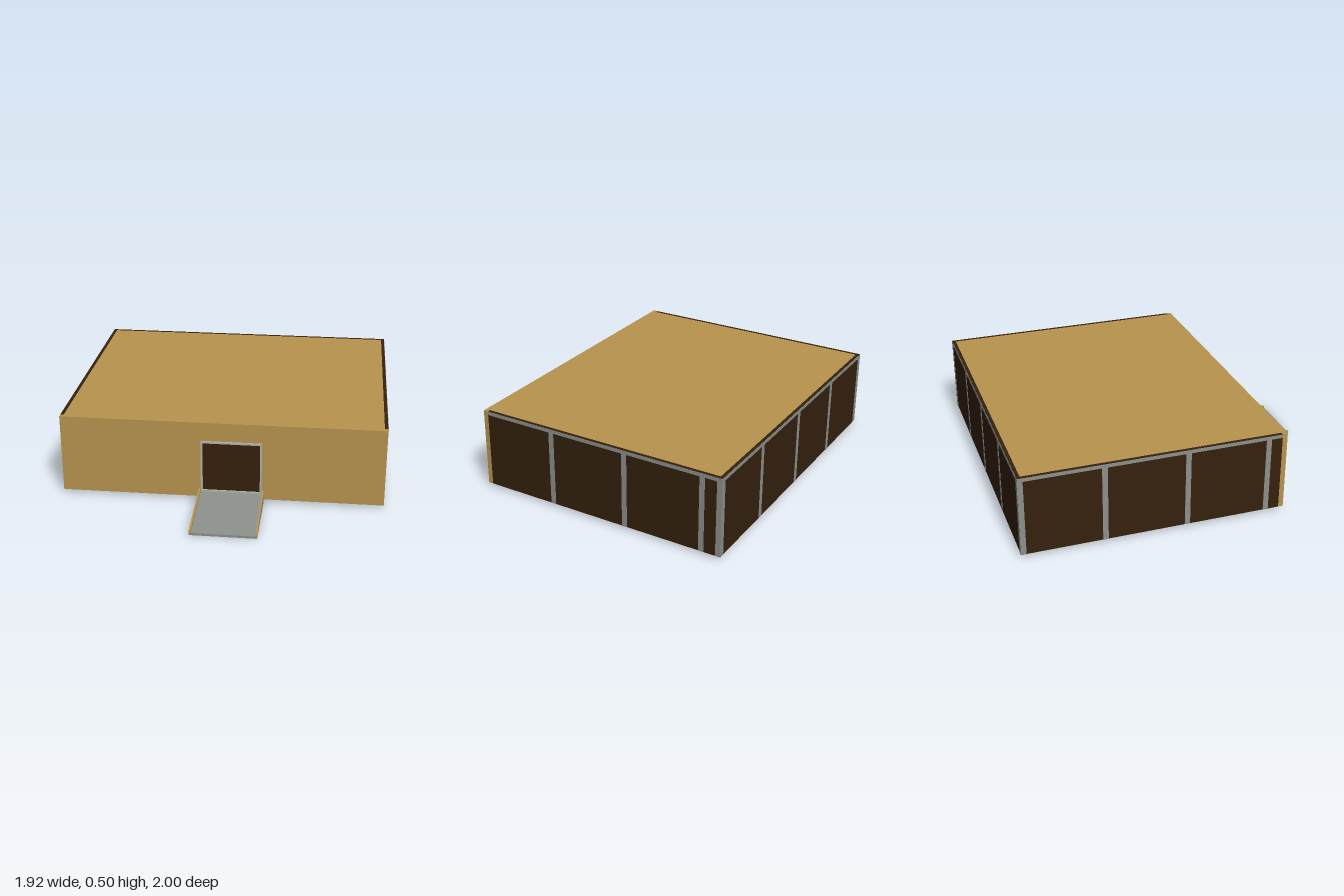
import * as THREE from 'three';

export function createModel() {
  const model = new THREE.Group();
  model.name = 'exhibitionHall';

  const mat = (name, color) => {
    const m = new THREE.MeshStandardMaterial({ color });
    m.name = name;
    return m;
  };
  const ochre = mat('ochre', 0xb8944e);
  const brown = mat('darkBrown', 0x35210d);
  const grey = mat('grey', 0x8c908a);
  const pale = mat('paleGrey', 0xb0b2aa);

  const add = (name, geometry, material, parent = model) => {
    const mesh = new THREE.Mesh(geometry, material);
    mesh.name = name;
    parent.add(mesh);
    return mesh;
  };
  // Box given by its minimum and maximum on each axis
  const box = (name, material, [x0, x1], [y0, y1], [z0, z1], parent) => {
    const mesh = add(name, new THREE.BoxGeometry(x1 - x0, y1 - y0, z1 - z0), material, parent);
    mesh.position.set((x0 + x1) / 2, (y0 + y1) / 2, (z0 + z1) / 2);
  };
  // Outline in (z, y) extruded along x
  const sideExtrude = (name, material, points, x0, x1, parent) => {
    const shape = new THREE.Shape(points.map(([z, y]) => new THREE.Vector2(-z, y)));
    const geo = new THREE.ExtrudeGeometry(shape, { depth: x1 - x0, bevelEnabled: false });
    geo.rotateY(Math.PI / 2).translate(x0, 0, 0);
    add(name, geo, material, parent);
  };

  const W = 0.96, T = 0.02, Y0 = 0.02, Y1 = 0.5, BACK = -0.998, FRONT = 0.568, INNER = 0.538;
  const door = { x0: -0.123, x1: 0.239, y0: 0.058, y1: 0.385 };

  // Front wall with the doorway cut out
  const rect = (Type, x0, x1, y0, y1) => {
    const p = new Type();
    p.moveTo(x0, y0).lineTo(x1, y0).lineTo(x1, y1).lineTo(x0, y1).closePath();
    return p;
  };
  const wall = rect(THREE.Shape, -W, W, Y0, Y1);
  wall.holes.push(rect(THREE.Path, door.x0, door.x1, door.y0, door.y1));
  const wallGeo = new THREE.ExtrudeGeometry(wall, { depth: FRONT - INNER, bevelEnabled: false });
  wallGeo.translate(0, 0, INNER);
  add('frontWall', wallGeo, ochre);

  // Dark side and back walls around an inset roof; the hall is open below
  box('rightWall', brown, [W - T, W], [Y0, Y1], [BACK, INNER]);
  box('leftWall', brown, [-W, -W + T], [Y0, Y1], [BACK, INNER]);
  box('backWall', brown, [-W + T, W - T], [Y0, Y1], [BACK, BACK + T]);
  box('roof', ochre, [-W + T, W - T], [Y1 - 0.012, Y1], [BACK + T, INNER]);

  // Grey posts and top rails as thin plates on the outer walls
  const P = 0.002, half = 0.016;
  const trim = new THREE.Group();
  trim.name = 'wallTrim';
  model.add(trim);
  const sides = [
    { x: [W, W + P], posts: [0.09, -0.395, -0.88, -0.984] },
    { x: [-W - P, -W], posts: [0.455, -0.03, -0.515, -0.984] },
  ];
  for (const { x, posts } of sides) {
    box('sideTopRail', grey, x, [Y1 - 0.022, Y1 - 0.001], [BACK, INNER], trim);
    for (const z of posts) {
      box('sidePost', grey, x, [Y0, Y1 - 0.022], [Math.max(z - half, BACK), z + half], trim);
    }
  }
  box('backTopRail', grey, [-W, W], [Y1 - 0.022, Y1 - 0.001], [BACK - P, BACK], trim);
  for (const x of [-W + half, -0.48, 0, 0.48, W - half]) {
    box('backPost', grey, [x - half, x + half], [Y0, Y1 - 0.022], [BACK - P, BACK], trim);
  }

  // Double door in a pale frame
  const entrance = new THREE.Group();
  entrance.name = 'entrance';
  model.add(entrance);
  const f = 0.011, zf = [INNER - 0.004, 0.58], mid = (door.x0 + door.x1) / 2;
  box('doorJamb', pale, [door.x0, door.x0 + f], [door.y0, door.y1], zf, entrance);
  box('doorJamb', pale, [door.x1 - f, door.x1], [door.y0, door.y1], zf, entrance);
  box('doorLintel', pale, [door.x0 + f, door.x1 - f], [door.y1 - f, door.y1], zf, entrance);
  box('doorSill', pale, [door.x0 + f, door.x1 - f], [door.y0, door.y0 + f], zf, entrance);
  const zd = [INNER, FRONT + 0.002];
  box('doorLeaf', brown, [door.x0 + f, mid - 0.001], [door.y0 + f, door.y1 - f], zd, entrance);
  box('doorLeaf', brown, [mid + 0.001, door.x1 - f], [door.y0 + f, door.y1 - f], zd, entrance);

  // Sloping ramp with a raised ochre curb on each side
  const ramp = new THREE.Group();
  ramp.name = 'ramp';
  model.add(ramp);
  sideExtrude('rampWedge', grey, [[FRONT, 0], [1, 0], [1, 0.014], [FRONT, 0.06]], -0.125, 0.241, ramp);
  for (const x of [-0.136, 0.241]) {
    sideExtrude('rampCurb', ochre, [[FRONT, 0.062], [1, 0.014], [1, 0.026], [FRONT, 0.074]], x, x + 0.011, ramp);
    sideExtrude('rampCheek', grey, [[FRONT, 0], [1, 0], [1, 0.014], [FRONT, 0.062]], x + 0.001, x + 0.01, ramp);
  }
  return model;
}
